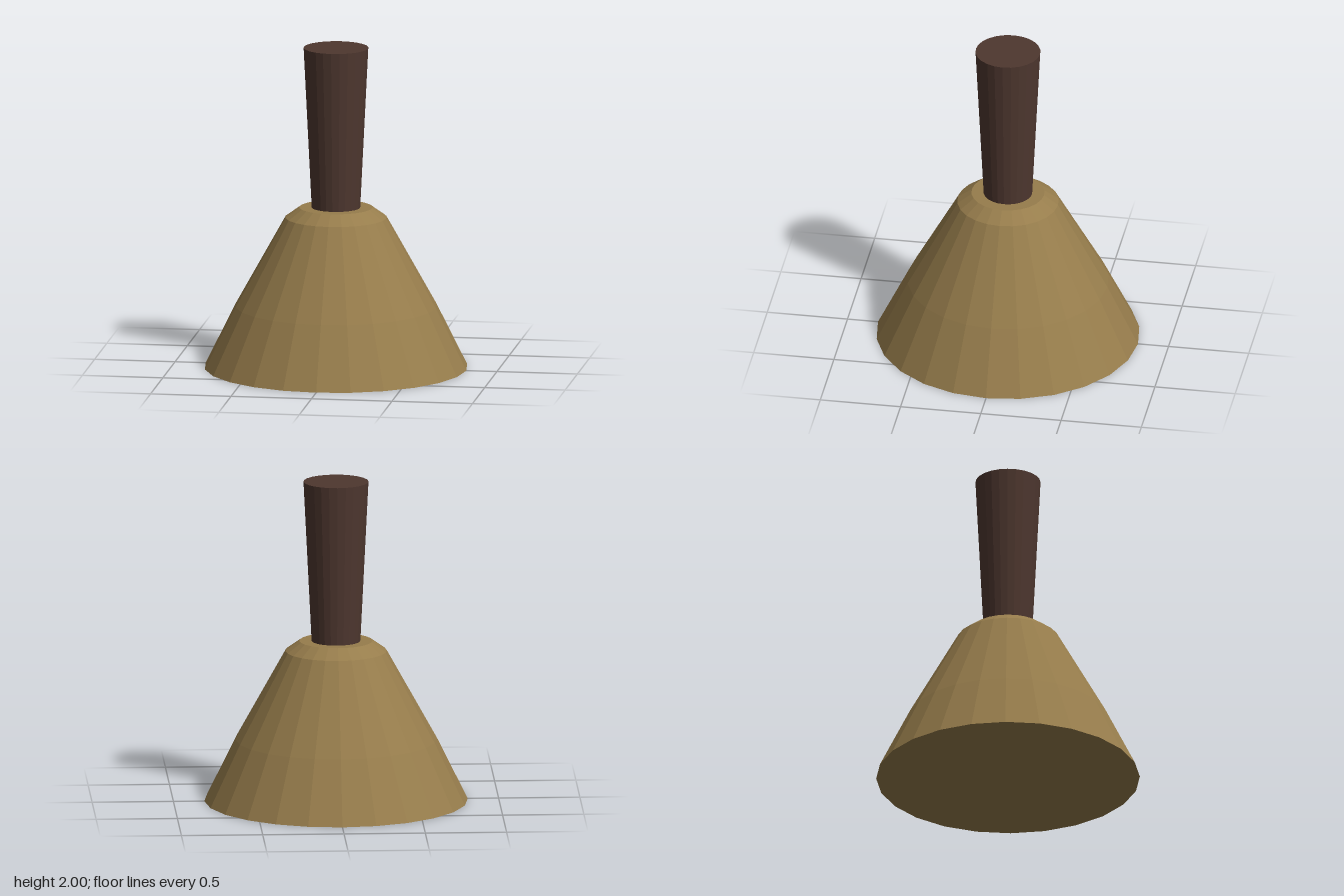
import * as THREE from 'three';

const SIDES = 24;

export function createModel() {
  const brass = new THREE.MeshStandardMaterial({ name: 'brass', color: 0x977d4c, flatShading: true });
  const darkWood = new THREE.MeshStandardMaterial({ name: 'darkWood', color: 0x4e372f, flatShading: true });
  const model = new THREE.Group();
  model.name = 'handBell';

  // Closed flared body with a bevelled shoulder, profile from base centre to top centre
  const profile = [[0, 0], [0.81, 0], [0.62, 0.385], [0.312, 0.938], [0.225, 1], [0, 1]]
    .map(([r, y]) => new THREE.Vector2(r, y));
  const body = new THREE.Mesh(new THREE.LatheGeometry(profile, SIDES), brass);
  body.name = 'bellBody';
  model.add(body);

  // Handle that widens towards the top
  const handle = new THREE.Mesh(new THREE.CylinderGeometry(0.2, 0.15, 1, SIDES), darkWood);
  handle.name = 'handle';
  handle.position.y = 1.5;
  model.add(handle);

  return model;
}
